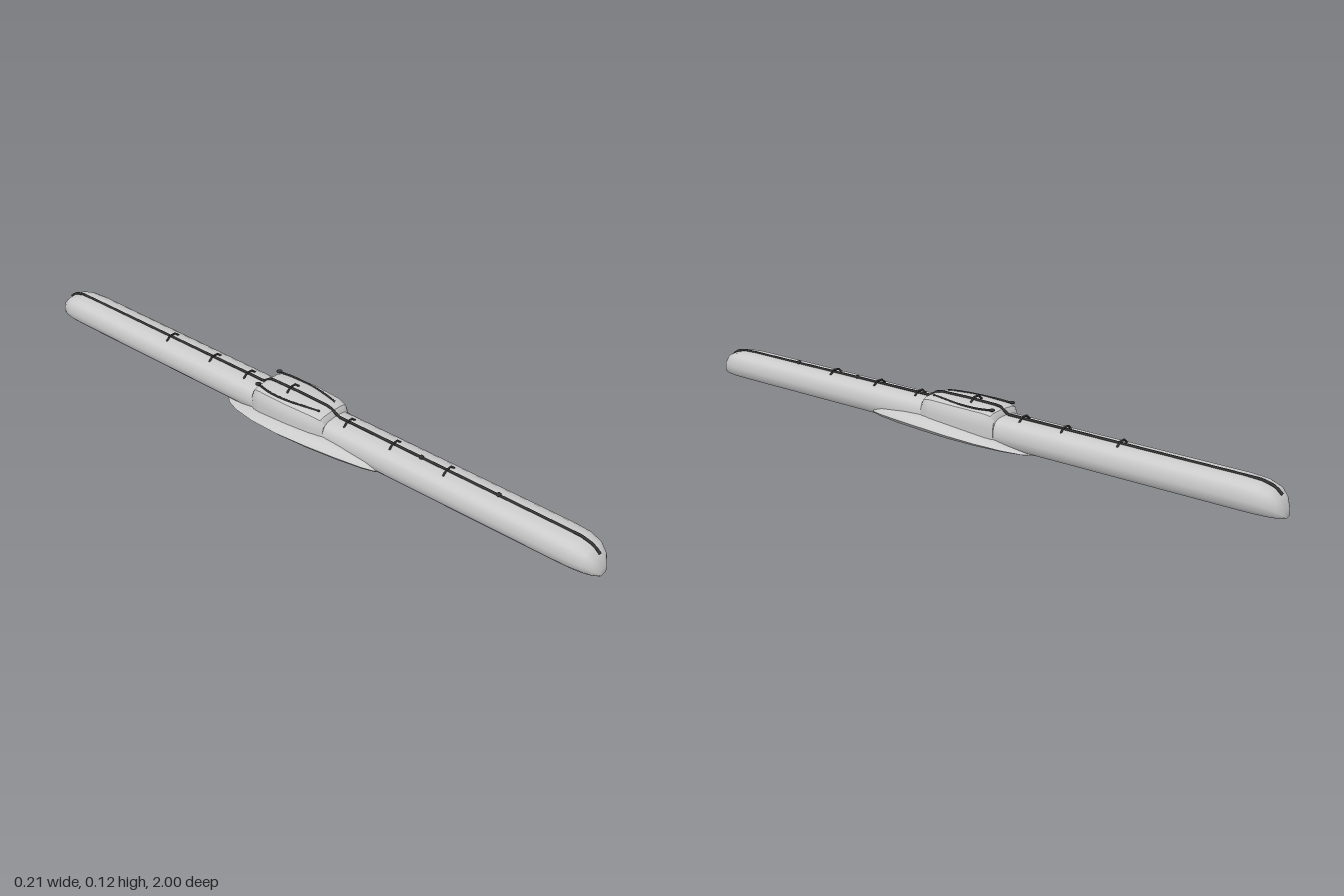
import * as THREE from 'three';
import { toCreasedNormals } from 'three/addons/utils/BufferGeometryUtils.js';

const grey = new THREE.MeshStandardMaterial({ color: 0xcccccc });
const dark = new THREE.MeshStandardMaterial({ color: 0x333333 });

// Half outlines from bottom centre to top centre, as [x, y] in 0..1
const HULL = [[0, 0], [0.4, 0.01], [0.72, 0.07], [0.93, 0.22], [1, 0.46], [0.95, 0.72], [0.82, 0.88], [0.6, 0.965], [0.3, 0.99], [0, 1]];
const HOUSING = [[0, 0], [0.7, 0], [0.94, 0.15], [1, 0.55], [0.95, 0.78], [0.86, 0.92], [0.65, 0.975], [0.3, 0.99], [0, 1]];
const PLATE = [[0, 0], [0.4, 0.02], [0.7, 0.12], [0.88, 0.28], [1, 0.55], [0.93, 0.75], [0.82, 0.9], [0.65, 0.97], [0, 1]];

// Skin a mirrored outline over stations [z, halfWidth, bottomY, topY], z rising
function loft(half, stations) {
  const ring = [...half, ...half.slice(1, -1).reverse().map(([x, y]) => [-x, y])];
  const n = ring.length, pos = [], idx = [];
  for (const [z, w, y0, y1] of stations)
    for (const [x, y] of ring) pos.push(x * w, y0 + y * (y1 - y0), z);
  for (let i = 0; i < stations.length - 1; i++)
    for (let j = 0; j < n; j++) {
      const a = i * n + j, b = i * n + (j + 1) % n;
      idx.push(a, b, b + n, a, b + n, a + n);
    }
  const last = (stations.length - 1) * n;
  for (let j = 1; j < n - 1; j++) {
    idx.push(0, j + 1, j);
    idx.push(last, last + j, last + j + 1);
  }
  const g = new THREE.BufferGeometry();
  g.setAttribute('position', new THREE.Float32BufferAttribute(pos, 3));
  g.setIndex(idx);
  return toCreasedNormals(g, 0.7);
}

// Rod following straight segments between points
function rod(points, radius, smooth = false) {
  const v = points.map(p => new THREE.Vector3(...p));
  let curve;
  if (smooth) curve = new THREE.CatmullRomCurve3(v);
  else {
    curve = new THREE.CurvePath();
    for (let i = 0; i < v.length - 1; i++) curve.add(new THREE.LineCurve3(v[i], v[i + 1]));
  }
  return new THREE.TubeGeometry(curve, smooth ? 24 : 120, radius, 6);
}

export function createModel() {
  const group = new THREE.Group();
  const add = (name, geometry, material = grey, x = 0, y = 0, z = 0) => {
    const mesh = new THREE.Mesh(geometry, material);
    mesh.name = name;
    mesh.position.set(x, y, z);
    group.add(mesh);
    return mesh;
  };

  // Long slender hull with rounded ends
  const nose = [[0.88, 0.057, 0.002, 0.086], [0.93, 0.055, 0.002, 0.083], [0.965, 0.047, 0.002, 0.073],
    [0.985, 0.036, 0.002, 0.055], [1, 0.017, 0.002, 0.026]];
  const tail = nose.map(([z, ...r]) => [-z, ...r]).reverse();
  add('hull', loft(HULL, [...tail, [0, 0.058, 0.002, 0.087], ...nose]));

  // Raised housing amidships
  add('housing', loft(HOUSING, [
    [-0.135, 0.06, 0.01, 0.088], [-0.125, 0.066, 0.01, 0.102], [-0.1, 0.072, 0.01, 0.107],
    [0, 0.076, 0.01, 0.109], [0.09, 0.07, 0.01, 0.108], [0.12, 0.063, 0.01, 0.102], [0.13, 0.057, 0.01, 0.088],
  ]));

  // Leaf-shaped keel plate, blunt at the front and tapering aft
  add('keelPlate', loft(PLATE, [
    [-0.26, 0.03, 0, 0.006], [-0.23, 0.056, 0, 0.011], [-0.18, 0.079, 0, 0.022], [-0.1, 0.099, 0, 0.036],
    [0, 0.107, 0, 0.046], [0.1, 0.102, 0, 0.05], [0.2, 0.087, 0, 0.045], [0.28, 0.07, 0.002, 0.037],
    [0.315, 0.057, 0.005, 0.03], [0.328, 0.04, 0.008, 0.024],
  ]));

  // Cable along the crest, climbing over the housing
  const halfLine = [[0.14, 0.09], [0.93, 0.086], [0.965, 0.077], [0.985, 0.06]];
  const line = [...halfLine.map(([z, y]) => [0, y, -z]).reverse(), [0, 0.109, -0.115],
    [0, 0.111, 0], [0, 0.109, 0.11], ...halfLine.map(([z, y]) => [0, y, z])];
  add('crestCable', rod(line, 0.004), dark);
  for (const z of [0.43, 0.68])
    add('cableBead', new THREE.SphereGeometry(0.007, 10, 8), dark, 0, 0.089, z);

  // Small arched handles
  const arch = rod([[-0.025, -0.004, 0], [-0.011, 0.009, 0], [0.011, 0.009, 0], [0.025, -0.004, 0]], 0.003);
  for (const z of [-0.52, -0.34, -0.2, -0.03, 0.18, 0.34, 0.52])
    add('archHandle', arch, dark, 0, z === -0.03 ? 0.111 : 0.087, z);

  // Curved rails on the housing, each ending in a small knob
  for (const s of [-1, 1]) {
    add('housingRail', rod([[s * 0.044, 0.108, -0.125], [s * 0.053, 0.106, -0.07], [s * 0.051, 0.106, 0],
      [s * 0.043, 0.107, 0.05], [s * 0.032, 0.106, 0.1]], 0.003, true), dark);
    const knob = add('railKnob', new THREE.SphereGeometry(0.009, 10, 8), dark, s * 0.045, 0.109, -0.122);
    knob.scale.set(1, 0.45, 1);
  }
  return group;
}
